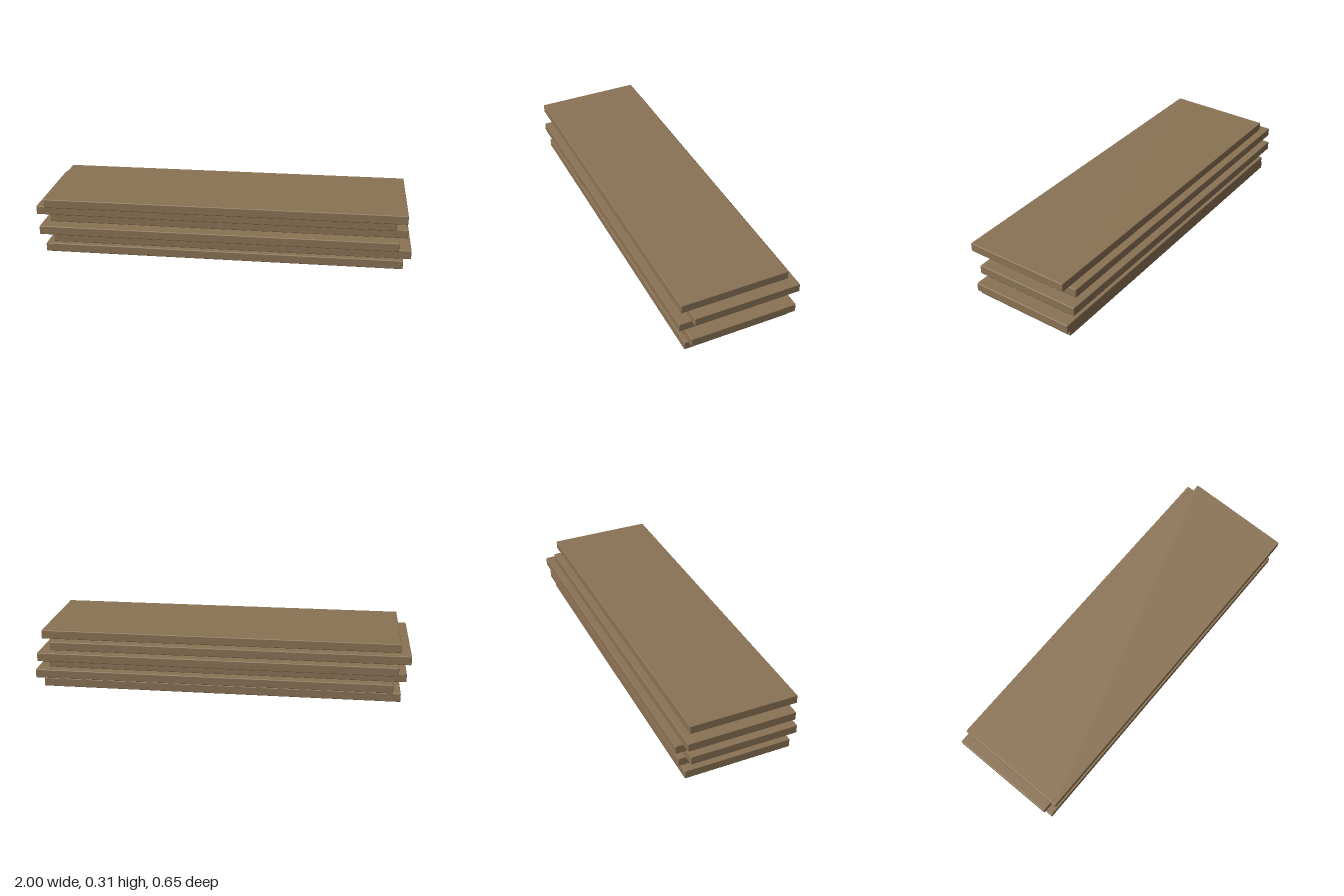
import * as THREE from 'three';
import { RoundedBoxGeometry } from 'three/addons/geometries/RoundedBoxGeometry.js';

const LENGTH = 1.915, THICKNESS = 0.047, WIDTH = 0.576, PITCH = 0.0525;

// sideways and depth shift of each board, bottom to top
const SHIFTS = [
  [0.0015, 0.0095],
  [0.0425, -0.0075],
  [-0.0245, 0.027],
  [0.0205, -0.0345],
  [-0.0425, 0.0005],
  [0.0115, 0.036],
];

export function createModel() {
  const model = new THREE.Group();
  model.name = 'boardStack';

  // one slightly eased plank, shared by the whole stack
  const plank = new RoundedBoxGeometry(LENGTH, THICKNESS, WIDTH, 2, 0.004);
  const wood = new THREE.MeshStandardMaterial({ color: 0x8b7355 });

  SHIFTS.forEach(([x, z], i) => {
    const board = new THREE.Mesh(plank, wood);
    board.name = `board${i + 1}`;
    board.position.set(x, THICKNESS / 2 + i * PITCH, z);
    model.add(board);
  });
  return model;
}
